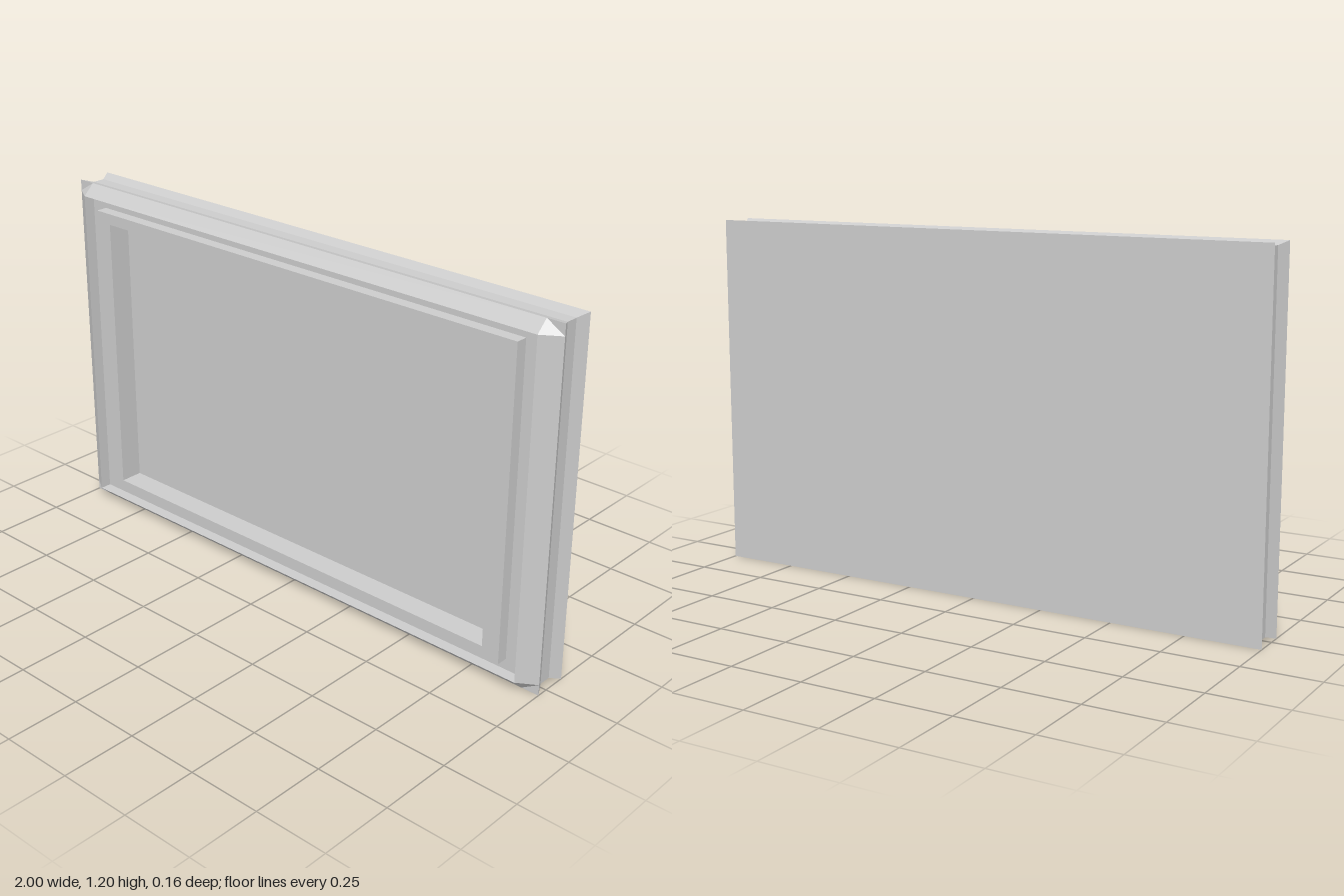
import * as THREE from 'three';

const HALF_W = 1, HALF_H = 0.6;

// Rectangular ring of 8 points, counter-clockwise from the front, two per corner.
// inset shrinks the rectangle in proportion; cut separates the two points of each corner.
function ring(inset, z, cut = 0) {
  const points = [];
  [[1, -1], [1, 1], [-1, 1], [-1, -1]].forEach(([sx, sy], i) => {
    const s = 1 - inset, c = s - cut;
    const onHorizontal = [sx * c * HALF_W, HALF_H + sy * s * HALF_H, z];
    const onVertical = [sx * s * HALF_W, HALF_H + sy * c * HALF_H, z];
    points.push(...(i % 2 ? [onVertical, onHorizontal] : [onHorizontal, onVertical]));
  });
  return points;
}

// Skin a list of rings from back to front, with optional flat caps.
function loft(name, rings, material, { backCap = false, frontCap = false } = {}) {
  const positions = [];
  const v = (p) => new THREE.Vector3(...p);
  const triangle = (a, b, c) => {
    if (new THREE.Triangle(v(a), v(b), v(c)).getArea() > 1e-7) positions.push(...a, ...b, ...c);
  };
  for (let r = 0; r < rings.length - 1; r++) {
    const a = rings[r], b = rings[r + 1];
    for (let i = 0; i < 8; i++) {
      const j = (i + 1) % 8;
      triangle(a[i], a[j], b[j]);
      triangle(a[i], b[j], b[i]);
    }
  }
  const first = rings[0], last = rings[rings.length - 1];
  for (let i = 1; i < 7; i++) {
    if (backCap) triangle(first[0], first[i + 1], first[i]);
    if (frontCap) triangle(last[0], last[i], last[i + 1]);
  }
  const geometry = new THREE.BufferGeometry();
  geometry.setAttribute('position', new THREE.Float32BufferAttribute(positions, 3));
  geometry.computeVertexNormals();
  const mesh = new THREE.Mesh(geometry, material);
  mesh.name = name;
  return mesh;
}

export function createModel() {
  const group = new THREE.Group();
  group.name = 'framedPanel';
  const grey = new THREE.MeshStandardMaterial({ color: 0xcccccc, flatShading: true });
  const step = 0.0625, groove = 0.0208;
  const back = -0.08, mid = 0.04, front = 0.08;

  // Back board with a shallow groove running round its edge
  group.add(loft('backBoard', [
    ring(0, back), ring(groove, -0.043), ring(groove, 0), ring(0, mid),
  ], grey, { backCap: true }));

  // Bevelled outer frame with clipped corners, stepping down to a channel
  group.add(loft('outerFrame', [
    ring(0, mid), ring(0, mid, step), ring(step, front), ring(step, mid), ring(2 * step, mid),
  ], grey));

  // Raised inner rim
  group.add(loft('innerRim', [
    ring(2 * step, mid), ring(2 * step, front), ring(3 * step, front), ring(3 * step, 0),
  ], grey));

  // Recessed flat panel
  group.add(loft('recessedPanel', [ring(3 * step, 0)], grey, { frontCap: true }));

  return group;
}
